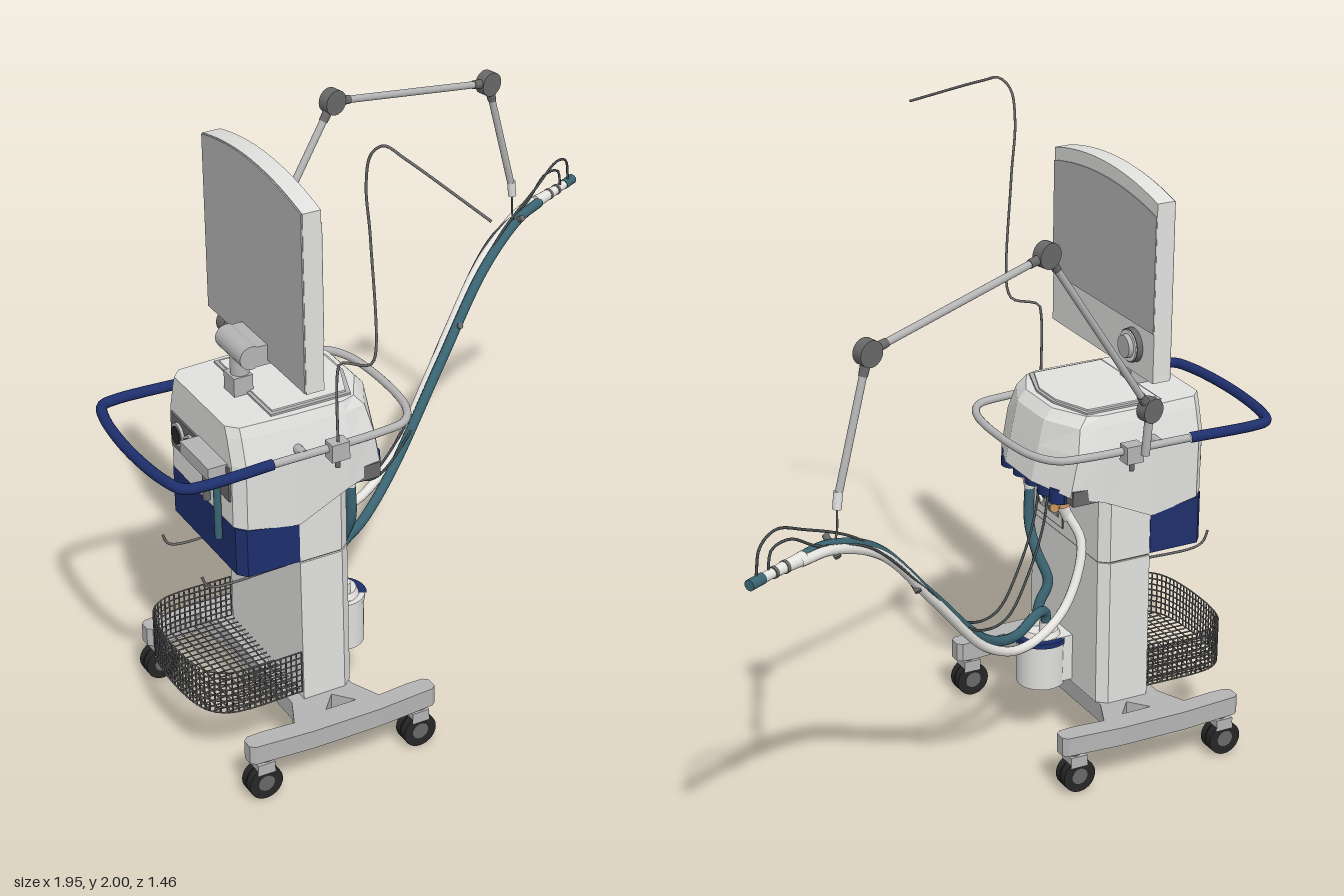
import * as THREE from 'three';
import { mergeGeometries, toCreasedNormals } from 'three/addons/utils/BufferGeometryUtils.js';

const V = (p) => new THREE.Vector3(...p);
const curve = (pts, closed = false) => new THREE.CatmullRomCurve3(pts.map(V), closed, 'centripetal');

export function createModel() {
  const root = new THREE.Group();
  root.name = 'medicalVentilatorCart';
  const mat = (name, color) => {
    const m = new THREE.MeshStandardMaterial({ color });
    m.name = name;
    return m;
  };
  const shell = mat('lightGreyShell', 0xe0e0de), grey = mat('midGrey', 0xb4b4b4);
  const panelGrey = mat('screenGrey', 0xb5b5b5), dark = mat('darkGrey', 0x686868);
  const blue = mat('navyBlue', 0x1e2f6c), teal = mat('tealHose', 0x3a6472), line = mat('lineGrey', 0x464b4c);
  const white = mat('offWhite', 0xe6e4e0), orange = mat('orange', 0xcf9a60), black = mat('tyreBlack', 0x262626);

  // Symmetric parts share a centre plane slightly off z = 0
  const cart = new THREE.Group();
  cart.name = 'cart';
  cart.position.z = 0.018;
  root.add(cart);

  const add = (name, geo, m, pos = [0, 0, 0], parent = cart) => {
    const o = new THREE.Mesh(geo, m);
    o.name = name;
    o.position.set(...pos);
    parent.add(o);
    return o;
  };
  const box = (name, m, x0, x1, y0, y1, z0, z1) =>
    add(name, new THREE.BoxGeometry(x1 - x0, y1 - y0, z1 - z0), m, [(x0 + x1) / 2, (y0 + y1) / 2, (z0 + z1) / 2]);
  const rod = (name, m, a, b, r, parent = cart, r2 = r, sides = 20) => {
    const d = V(b).sub(V(a));
    const o = add(name, new THREE.CylinderGeometry(r2, r, d.length(), sides), m, V(a).add(V(b)).multiplyScalar(0.5).toArray(), parent);
    o.quaternion.setFromUnitVectors(new THREE.Vector3(0, 1, 0), d.normalize());
    return o;
  };
  const tube = (name, m, pts, r, parent = root, sides = 10) =>
    add(name, new THREE.TubeGeometry(curve(pts), pts.length * 8, r, sides), m, [0, 0, 0], parent);
  const poly = (pts) => new THREE.Shape(pts.map(([x, y]) => new THREE.Vector2(x, y)));
  // Joins rings of equal length into a flat-shaded solid, lowest ring first
  const loft = (rings) => {
    const v = [], n = rings[0].length;
    const mid = (r) => r.reduce((s, p) => s.map((c, i) => c + p[i] / n), [0, 0, 0]);
    const first = rings[0], last = rings[rings.length - 1];
    for (let i = 0; i < n; i++) {
      const j = (i + 1) % n;
      for (let k = 0; k + 1 < rings.length; k++) {
        const [a, b] = [rings[k], rings[k + 1]];
        v.push(...a[i], ...a[j], ...b[j], ...a[i], ...b[j], ...b[i]);
      }
      v.push(...first[j], ...first[i], ...mid(first), ...last[i], ...last[j], ...mid(last));
    }
    const g = new THREE.BufferGeometry();
    g.setAttribute('position', new THREE.Float32BufferAttribute(v, 3));
    g.computeVertexNormals();
    return g;
  };

  // Base: two slightly bowed rails joined by a cross plate
  const quarter = [[-0.35, 0.322], [-0.25, 0.313], [-0.2, 0.315], [-0.185, 0.328], [-0.185, 0.362], [-0.2, 0.374], [-0.27, 0.379], [-0.38, 0.387]];
  const side = [[-0.39, 0.23], ...quarter, ...quarter.map(([x, z]) => [-0.98 - x, z]).reverse(), [-0.59, 0.23]];
  const baseShape = poly([...side, ...side.map(([x, z]) => [x, -z]).reverse()]);
  for (const s of [1, -1]) {
    baseShape.holes.push(new THREE.Path([[-0.52, 0.31 * s], [-0.42, 0.31 * s], [-0.47, 0.25 * s]].map(([x, z]) => new THREE.Vector2(x, z))));
  }
  add('base', new THREE.ExtrudeGeometry(baseShape, { depth: 0.06, bevelEnabled: false }).rotateX(Math.PI / 2), grey, [0, 0.19, 0]);

  // Twin-wheel casters
  for (const x of [-0.75, -0.24]) for (const s of [1, -1]) {
    const z = 0.347 * s;
    for (const d of [-0.014, 0.014]) {
      rod('casterWheel', black, [x, 0.053, z + d - 0.012], [x, 0.053, z + d + 0.012], 0.053, cart, 0.053, 28);
      rod('casterHub', dark, [x, 0.053, z + d - 0.0135], [x, 0.053, z + d + 0.0135], 0.026);
    }
    rod('casterStem', dark, [x + 0.01, 0.09, z], [x + 0.01, 0.132, z], 0.02);
    box('casterFork', grey, x - 0.025, x + 0.03, 0.085, 0.12, z - 0.0265, z + 0.0265);
  }

  // Column in two lengths with a fine seam
  const colRing = (y, w, c = 0.025) => [[-0.55, w], [-0.39 - c, w], [-0.385, w - c], [-0.385, c - w], [-0.39 - c, -w], [-0.55, -w]]
    .map(([x, z]) => [x, y, z]);
  add('lowerColumn', loft([colRing(0.19, 0.232), colRing(0.658, 0.228)]), shell);
  add('columnSeam', loft([colRing(0.658, 0.222), colRing(0.662, 0.222)]), dark);
  add('upperColumn', loft([colRing(0.662, 0.226), colRing(0.88, 0.226)]), shell);

  // Housing with pointed front and slanted underside
  const ring = (w, front, ys) => {
    const half = [[front, 0.082], [front - 0.058, w - 0.015], [-0.39, w], [-0.55, w], [-0.71, w - 0.008], [-0.74, w - 0.04]];
    const h = half.map(([x, z], i) => [x, ys[i], z]);
    return [...h.map(([x, y, z]) => [x, y, -z]).reverse(), ...h].reverse();
  };
  const level = (y) => Array(6).fill(y);
  add('housing', loft([ring(0.232, -0.222, [0.91, 0.895, 0.865, 0.79, 0.815, 0.82]), ring(0.235, -0.245, level(1.02)),
    ring(0.212, -0.262, level(1.1)), ring(0.2, -0.29, level(1.132))]), shell);
  const topPlate = (w, x0, x1, y0, y1) => loft([y0, y1].map((y) =>
    [[x0, w], [x1 - 0.045, w], [x1, 0.05], [x1, -0.05], [x1 - 0.045, -w], [x0, -w]].map(([x, z]) => [x, y, z])));
  add('topPanelFrame', topPlate(0.178, -0.605, -0.308, 1.13, 1.138), grey);
  add('topPanel', topPlate(0.165, -0.595, -0.318, 1.13, 1.143), shell);

  // Blue rear compartment
  add('rearCompartment', loft([[0.665, 0.665], [0.818, 0.79]].map(([yb, yf]) =>
    [[-0.738, yb, 0.2], [-0.715, yb, 0.228], [-0.55, yf, 0.228], [-0.55, yf, -0.228], [-0.715, yb, -0.228], [-0.738, yb, -0.2]])), blue);

  // Rear fittings and cable hooks
  box('rearFittingPlate', dark, -0.746, -0.738, 0.9, 1.01, -0.185, 0.185);
  box('rearConnectorBlock', grey, -0.8, -0.73, 0.975, 1.015, -0.01, 0.17);
  for (const z of [-0.13, -0.05]) {
    rod('rearPortRim', grey, [-0.74, 0.96, z], [-0.755, 0.96, z], 0.036);
    rod('rearPort', black, [-0.74, 0.96, z], [-0.76, 0.96, z], 0.027);
  }
  rod('rearGasTube', teal, [-0.752, 0.75, 0.12], [-0.752, 0.975, 0.12], 0.011);
  rod('rearGasTube', dark, [-0.752, 0.84, 0.05], [-0.752, 0.975, 0.05], 0.011);
  for (const z of [-0.13, 0.13]) {
    tube('cableHook', dark, [[-0.55, 0.598, z], [-0.77, 0.596, z], [-0.8, 0.61, z], [-0.815, 0.645, z]], 0.004, cart);
  }

  // Handle loop: blue rear half, grey front half
  const loop = (pts) => [...pts, ...pts.filter((p) => p[2] !== 0).reverse().map(([x, y, z]) => [x, y, -z])];
  tube('rearHandle', blue, loop([[-0.65, 1.038, 0.27], [-0.87, 1.038, 0.278], [-0.92, 1.038, 0.265], [-0.945, 1.038, 0.2], [-0.962, 1.038, 0]]), 0.016, cart, 14);
  tube('frontHandle', grey, loop([[-0.65, 1.038, 0.27], [-0.3, 1.038, 0.262], [-0.22, 1.038, 0.245], [-0.175, 1.038, 0.18], [-0.155, 1.038, 0]]), 0.012, cart, 14);
  for (const s of [1, -1]) {
    box('handleClamp', grey, -0.478, -0.422, 1.005, 1.06, 0.277 * s - 0.022, 0.277 * s + 0.022);
    rod('clampScrew', dark, [-0.45, 0.975, 0.277 * s], [-0.45, 1.01, 0.277 * s], 0.008);
    rod('handleMount', grey, [-0.55, 1.038, 0.22 * s], [-0.55, 1.038, 0.268 * s], 0.014);
  }

  // Display on a swivel neck
  const arch = (w, y0, y1, rise) => {
    const s = new THREE.Shape();
    s.moveTo(-w, y0);
    s.lineTo(w, y0);
    s.lineTo(w, y1);
    s.quadraticCurveTo(0, y1 + 2 * rise, -w, y1);
    return s;
  };
  const slab = (name, shape, d, m, x) =>
    add(name, toCreasedNormals(new THREE.ExtrudeGeometry(shape, { depth: d, bevelEnabled: false, curveSegments: 20 }).rotateY(Math.PI / 2), 0.5), m, [x, 0, 0]);
  slab('displayCase', arch(0.3, 1.247, 1.795, 0.04), 0.056, shell, -0.556);
  slab('displayScreen', arch(0.299, 1.4, 1.755, 0.037), 0.004, panelGrey, -0.501);
  slab('displayBack', arch(0.298, 1.25, 1.793, 0.039), 0.006, panelGrey, -0.56);
  rod('knobRing', dark, [-0.5, 1.332, -0.188], [-0.482, 1.332, -0.188], 0.052, cart, 0.051, 32);
  rod('knobCollar', shell, [-0.485, 1.332, -0.188], [-0.478, 1.332, -0.188], 0.048, cart, 0.047, 32);
  rod('knob', grey, [-0.48, 1.332, -0.188], [-0.464, 1.332, -0.188], 0.036, cart, 0.034, 32);
  rod('neckPost', grey, [-0.61, 1.13, 0], [-0.61, 1.25, 0], 0.028);
  box('neckFoot', grey, -0.645, -0.585, 1.132, 1.19, -0.032, 0.032);
  rod('neckHinge', grey, [-0.61, 1.27, -0.078], [-0.61, 1.27, 0.078], 0.036);
  box('neckBracket', grey, -0.61, -0.54, 1.238, 1.3, -0.078, 0.078);

  // Wire basket with rounded rear corners
  const wires = [];
  const wire = (pts, n = 1) => wires.push(new THREE.TubeGeometry(n === 1 ? new THREE.LineCurve3(V(pts[0]), V(pts[1])) : curve(pts), n, 0.0028, 4));
  const corner = [[-0.555, 0.23], [-0.74, 0.23], [-0.79, 0.218], [-0.83, 0.185], [-0.852, 0.13], [-0.863, 0]];
  const rim = (y) => loop(corner.map(([x, z]) => [x, y, z]));
  for (let k = 0; k < 8; k++) wire(rim(0.218 + k * 0.0197), 64);
  for (const p of curve(rim(0)).getSpacedPoints(56)) wire([[p.x, 0.216, p.z], [p.x, 0.358, p.z]]);
  // Linear lookup along the corner outline, from column a to column b
  const outline = (t, a, b) => {
    const i = corner.findIndex((p, k) => k > 0 && (p[a] - t) * (corner[k - 1][a] - t) <= 0);
    const [p, q] = [corner[i - 1], corner[i]];
    return p[a] === q[a] ? q[b] : p[b] + (q[b] - p[b]) * (t - p[a]) / (q[a] - p[a]);
  };
  for (let k = -9; k <= 9; k++) {
    const z = k * 0.0235;
    wire([[-0.555, 0.217, z], [outline(Math.abs(z), 1, 0), 0.217, z]]);
  }
  for (let x = -0.58; x > -0.855; x -= 0.025) {
    const w = outline(x, 0, 1);
    wire([[x, 0.217, -w], [x, 0.217, w]]);
  }
  add('wireBasket', mergeGeometries(wires), dark);

  // Humidifier tank
  const tx = -0.307;
  rod('tank', shell, [tx, 0.19, 0], [tx, 0.335, 0], 0.074, cart, 0.076, 32);
  rod('tankRim', shell, [tx, 0.335, 0], [tx, 0.35, 0], 0.078, cart, 0.078, 32);
  add('tankBand', new THREE.CylinderGeometry(0.083, 0.083, 0.016, 24, 1, false, 1, 2.7), blue, [tx, 0.343, 0]);
  rod('tankLid', white, [tx, 0.35, 0], [tx, 0.37, 0], 0.06, cart, 0.052, 32);
  box('tankBracket', shell, -0.39, -0.3, 0.2, 0.352, -0.06, 0.06);
  for (const z of [-0.03, 0.03]) rod('tankPort', white, [tx, 0.37, z], [tx, 0.405, z], 0.021);

  // Blue valve manifold under the housing
  box('manifoldPlate', dark, -0.385, -0.285, 0.868, 0.915, -0.225, 0.225);
  box('manifold', blue, -0.383, -0.278, 0.864, 0.9, -0.185, 0.2);
  for (const z of [-0.15, -0.08, 0, 0.075, 0.15]) rod('manifoldCap', blue, [-0.283, 0.862, z], [-0.283, 0.91, z], 0.034);
  rod('hosePort', white, [-0.325, 0.79, 0.115], [-0.315, 0.87, 0.115], 0.016, cart, 0.022);
  rod('hosePort', white, [-0.34, 0.77, -0.1], [-0.315, 0.83, -0.1], 0.016, cart, 0.02);
  rod('flowSensor', orange, [-0.315, 0.82, -0.1], [-0.31, 0.865, -0.1], 0.026);
  rod('sensorNozzle', orange, [-0.3, 0.835, -0.1], [-0.27, 0.835, -0.14], 0.014);

  // Socket plate on the column
  box('socketPlate', dark, -0.387, -0.381, 0.683, 0.834, 0.008, 0.187);
  box('socketFace', shell, -0.387, -0.38, 0.687, 0.83, 0.012, 0.183);
  for (const z of [0.06, 0.135]) for (const y of [0.735, 0.785]) {
    box('socketFrame', dark, -0.382, -0.3785, y - 0.023, y + 0.023, z - 0.03, z + 0.03);
    box('socketLabel', y > 0.75 ? orange : grey, -0.382, -0.376, y - 0.02, y + 0.02, z - 0.027, z + 0.027);
    if (y < 0.75) box('socketStripe', blue, -0.38, -0.375, y + 0.009, y + 0.02, z - 0.027, z + 0.027);
    rod('socket', white, [-0.38, y, z], [-0.366, y, z], 0.013);
    rod('socketCore', dark, [-0.38, y, z], [-0.364, y, z], 0.009);
  }

  // Jointed support arm
  const joints = [[-0.485, 1.175, -0.295], [-0.085, 1.745, -0.39], [0.527, 1.617, -0.53], [0.632, 1.24, -0.558]];
  rod('armPost', grey, [-0.48, 1.03, -0.285], joints[0], 0.013, root);
  joints.slice(1).forEach((b, i) => {
    const a = joints[i];
    const length = V(a).distanceTo(V(b));
    const at = (d) => V(a).lerp(V(b), d / length).toArray();
    rod('armSegment', grey, a, b, 0.011, root);
    rod('armCollar', dark, a, at(0.065), 0.016, root, 0.013);
    if (i < 2) rod('armCollar', dark, at(length - 0.065), b, 0.013, root, 0.016);
    const off = (s) => [a[0] + 0.004 * s, a[1], a[2] + 0.017 * s];
    rod('armJoint', dark, off(-1), off(1), 0.038, root, 0.038, 28);
  });
  rod('armTip', shell, [0.632, 1.25, -0.557], [0.638, 1.2, -0.56], 0.013, root);
  tube('hoseHanger', dark, [[0.638, 1.2, -0.56], [0.64, 1.13, -0.56], [0.655, 1.085, -0.56]], 0.003);

  // Bent wire holder on the left side
  tube('wireHolder', dark, [[-0.45, 0.98, 0.3], [-0.45, 1.28, 0.302], [-0.442, 1.308, 0.305], [-0.385, 1.315, 0.365], [-0.374, 1.345, 0.378],
    [-0.38, 1.7, 0.37], [-0.397, 1.87, 0.38], [-0.392, 1.965, 0.4], [-0.37, 1.996, 0.43], [-0.34, 1.975, 0.49], [-0.22, 1.866, 0.728]], 0.004);

  // Breathing hoses
  tube('shortHose', teal, [[-0.325, 0.8, 0.133], [-0.32, 0.68, 0.125], [-0.325, 0.6, 0.09], [-0.35, 0.5, 0.055], [-0.32, 0.44, 0.05], [tx, 0.395, 0.048]], 0.016);
  tube('longHose', teal, [[tx, 0.395, -0.012], [-0.3, 0.44, -0.02], [-0.25, 0.462, -0.06], [-0.125, 0.46, -0.155], [0.035, 0.535, -0.26], [0.27, 0.785, -0.375],
    [0.485, 1.015, -0.475], [0.67, 1.105, -0.57], [0.78, 1.114, -0.625]], 0.016);
  tube('returnHose', white, [[-0.335, 0.79, -0.085], [-0.365, 0.7, -0.12], [-0.28, 0.535, -0.18], [-0.12, 0.467, -0.24], [0.04, 0.525, -0.305], [0.27, 0.775, -0.408],
    [0.48, 1.007, -0.507], [0.67, 1.103, -0.598], [0.79, 1.114, -0.65]], 0.0145);
  const linePts = [[-0.28, 0.87, -0.01], [-0.25, 0.76, -0.03], [-0.17, 0.65, -0.09], [-0.045, 0.578, -0.19], [0.125, 0.63, -0.3], [0.33, 0.855, -0.41], [0.56, 1.08, -0.52]];
  tube('sensorLine', line, [...linePts, [0.75, 1.18, -0.6], [0.86, 1.225, -0.655], [0.92, 1.2, -0.69], [0.935, 1.13, -0.7]], 0.004);
  tube('sensorLine', line, [...linePts.map(([x, y, z]) => [x - 0.015, y - 0.015, z - 0.03]), [0.72, 1.13, -0.61], [0.82, 1.19, -0.655], [0.88, 1.18, -0.675], [0.893, 1.12, -0.68]], 0.004);
  for (const [x, y, z] of [[0.345, 0.865, -0.425], [0.655, 1.1, -0.57]]) {
    rod('hoseClip', dark, [x, y - 0.022, z - 0.03], [x + 0.01, y + 0.022, z + 0.03], 0.01, root);
  }

  // Patient connector
  rod('connectorBody', white, [0.77, 1.115, -0.63], [0.87, 1.115, -0.673], 0.02, root, 0.015);
  rod('connectorCollar', dark, [0.83, 1.115, -0.656], [0.84, 1.115, -0.66], 0.0185, root);
  rod('connectorCollar', dark, [0.87, 1.115, -0.673], [0.88, 1.115, -0.678], 0.017, root);
  rod('connectorSensor', white, [0.88, 1.115, -0.678], [0.915, 1.115, -0.694], 0.014, root);
  rod('connectorTip', teal, [0.915, 1.115, -0.694], [0.963, 1.115, -0.718], 0.016, root);
  return root;
}
